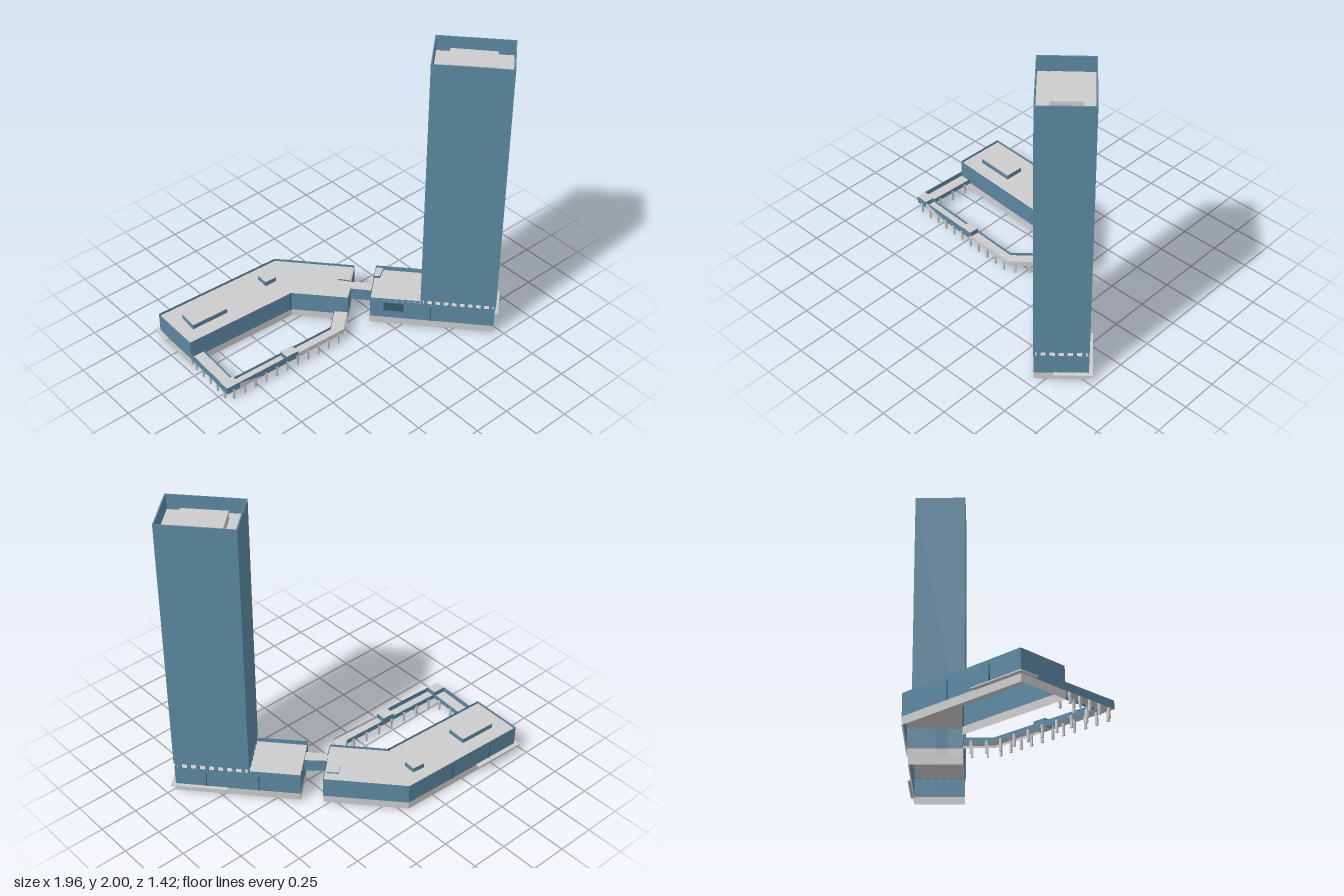
import * as THREE from 'three';

const mat = (color) => new THREE.MeshStandardMaterial({ color, side: THREE.DoubleSide });
const grey = mat(0xcccccc);
const blue = mat(0x5b87a0);

const lerp = (a, b, t) => [a[0] + (b[0] - a[0]) * t, a[1] + (b[1] - a[1]) * t];

// Plan points are [x, z]
function toShape(plan) {
  return new THREE.Shape(plan.map(([x, z]) => new THREE.Vector2(x, z)));
}

export function createModel() {
  const model = new THREE.Group();

  const add = (name, geometry, material, parent = model) => {
    const mesh = new THREE.Mesh(geometry, material);
    mesh.name = name;
    parent.add(mesh);
    return mesh;
  };

  // Thin upright sheet following a plan line
  const wall = (name, plan, y0, y1, material, closed = true) => {
    const pos = [];
    const count = closed ? plan.length : plan.length - 1;
    for (let i = 0; i < count; i++) {
      const [ax, az] = plan[i];
      const [bx, bz] = plan[(i + 1) % plan.length];
      pos.push(ax, y0, az, ax, y1, az, bx, y1, bz, ax, y0, az, bx, y1, bz, bx, y0, bz);
    }
    const g = new THREE.BufferGeometry();
    g.setAttribute('position', new THREE.Float32BufferAttribute(pos, 3));
    g.computeVertexNormals();
    return add(name, g, material);
  };

  // Flat sheet at one height
  const deck = (name, plan, y, material = grey) => {
    const g = new THREE.ShapeGeometry(toShape(plan)).rotateX(Math.PI / 2).translate(0, y, 0);
    return add(name, g, material);
  };

  // Solid prism with its own cap and side materials
  const prism = (name, plan, y0, y1, cap = grey, side = blue) => {
    const g = new THREE.ExtrudeGeometry(toShape(plan), { depth: y1 - y0, bevelEnabled: false });
    g.rotateX(Math.PI / 2).translate(0, y1, 0);
    return add(name, g, [cap, side]);
  };

  // Row of square posts along a plan line
  const posts = (name, plan, y0, y1, spacing, size, material, closed) => {
    const row = new THREE.Group();
    row.name = name;
    model.add(row);
    const count = closed ? plan.length : plan.length - 1;
    for (let i = 0; i < count; i++) {
      const a = plan[i], b = plan[(i + 1) % plan.length];
      const dx = b[0] - a[0], dz = b[1] - a[1];
      const n = Math.max(1, Math.round(Math.hypot(dx, dz) / spacing));
      for (let k = 0; k < n; k++) {
        const [x, z] = lerp(a, b, (k + 0.5) / n);
        const post = add('post', new THREE.BoxGeometry(size, y1 - y0, 0.012), material, row);
        post.position.set(x, (y0 + y1) / 2, z);
        post.rotation.y = -Math.atan2(dz, dx);
      }
    }
  };

  // Podium: an angled west wing and an east block, split by a passage
  const west = [[-0.95, -0.68], [-0.04, -0.63], [0.318, -0.226], [0.187, -0.113],
    [0.14, -0.066], [0.066, -0.008], [-0.18, -0.285], [-0.96, -0.33]];
  const east = [[0.413, -0.118], [0.945, 0.48], [0.70, 0.70], [0.165, 0.097],
    [0.23, 0.04], [0.29, -0.013]];
  for (const [name, plan] of [['westWing', west], ['eastBlock', east]]) {
    wall(name + 'Base', plan, 0.01, 0.06, grey);
    wall(name + 'Wall', plan, 0.06, 0.2, blue);
    deck(name + 'Roof', plan, 0.182);
  }
  wall('eastParapet', [[0.385, 0.34], [0.165, 0.097], [0.23, 0.04], [0.29, -0.013],
    [0.413, -0.118], [0.63, 0.125]], 0.2, 0.215, blue, false);

  // Bridge over the passage
  prism('bridge', [[0.187, -0.113], [0.29, -0.013], [0.23, 0.04], [0.14, -0.066]], 0.115, 0.2);

  // Tower, raised on short posts above the podium
  const tower = [[0.63, 0.122], [0.948, 0.482], [0.70, 0.708], [0.378, 0.345]];
  wall('towerWall', tower, 0.23, 2, blue);
  deck('towerFloor', tower, 0.23);
  deck('towerRoof', tower, 1.9);
  const mid = [0.664, 0.414];
  const inner = tower.map((p) => lerp(p, mid, 0.035));
  wall('towerParapetInside', inner, 1.9, 2, blue);
  tower.forEach((p, i) => {
    const j = (i + 1) % 4;
    deck('towerCoping', [p, tower[j], inner[j], inner[i]], 2, blue);
  });
  prism('towerPenthouse', [[0.64, 0.24], [0.825, 0.455], [0.69, 0.575], [0.50, 0.365]],
    1.9, 1.96, grey, grey);
  posts('towerPosts', inner, 0.18, 0.23, 0.055, 0.022, blue, true);

  // Plant boxes and hatches on the podium roof
  prism('roofPlant', [[-0.85, -0.565], [-0.595, -0.55], [-0.6, -0.42], [-0.86, -0.435]], 0.182, 0.215);
  prism('roofStairBox', [[-0.245, -0.55], [-0.16, -0.54], [-0.165, -0.46], [-0.25, -0.465]], 0.182, 0.215);
  prism('roofHatch', [[0.15, -0.2], [0.2, -0.24], [0.255, -0.18], [0.2, -0.135]], 0.182, 0.192);
  prism('roofHatch', [[0.413, -0.113], [0.445, -0.08], [0.37, -0.035], [0.34, -0.06]], 0.182, 0.2);

  // Entrance canopies
  prism('towerCanopy', [[0.74, 0.21], [0.98, 0.485], [0.805, 0.64], [0.79, 0.62],
    [0.945, 0.48], [0.72, 0.225]], 0.056, 0.064, grey, grey);
  prism('wingCanopy', [[-0.975, -0.71], [-0.61, -0.692], [-0.612, -0.661], [-0.95, -0.68],
    [-0.955, -0.575], [-0.982, -0.577]], 0.056, 0.064, grey, grey);

  // Narrow dark joints and a window on the podium walls
  const joint = (a, b, t, width, y0, y1, name = 'wallJoint') => {
    const dx = b[0] - a[0], dz = b[1] - a[1];
    const [x, z] = lerp(a, b, t);
    const m = add(name, new THREE.BoxGeometry(width, y1 - y0, 0.008), mat(0x3b5a6b));
    m.position.set(x, (y0 + y1) / 2, z);
    m.rotation.y = -Math.atan2(dz, dx);
  };
  for (const t of [0.08, 0.5]) joint(east[0], east[1], t + 0.25, 0.006, 0.06, 0.175);
  joint(east[2], east[3], 0.51, 0.006, 0.06, 0.175);
  joint(west[6], west[7], 0.01, 0.006, 0.06, 0.2);
  for (const t of [0.25, 0.6]) joint(west[0], west[1], t, 0.006, 0.06, 0.175);
  joint(east[2], east[3], 0.81, 0.13, 0.12, 0.182, 'sideWindow');

  // Courtyard arcade: low roof with fascias on posts
  const outerZ = (x) => 0.07 + (x + 0.98) * 0.05;
  const at = (x) => [x, outerZ(x)];
  const innerLine = [[-0.87, -0.325], [-0.89, 0.005], [-0.125, 0.045], [0.01, -0.075]];
  const corner = at(-0.075), join = [0.066, -0.008];
  const outerLine = [[-0.96, -0.33], [-0.982, 0.07], corner, join];
  deck('arcadeRoof', [...outerLine, ...[...innerLine].reverse()], 0.075);
  wall('arcadeInnerFascia', innerLine, 0.06, 0.095, blue, false);
  wall('arcadeOuterFascia', [at(-0.44), corner, join], 0.06, 0.095, grey, false);
  wall('arcadeWestFascia', [[-0.96, -0.33], [-0.982, 0.07], at(-0.44)], 0.06, 0.11, blue, false);
  prism('arcadeCornerBlock', [[-0.98, 0.002], [-0.89, 0.006], at(-0.893), [-0.982, 0.07]], 0.06, 0.11);
  prism('arcadeBlock', [[-0.525, 0.025], [-0.44, 0.03], at(-0.444), at(-0.53)], 0.06, 0.112);

  // Grey triangular panel on the west fascia
  const tri = new THREE.BufferGeometry();
  tri.setAttribute('position', new THREE.Float32BufferAttribute([
    -0.89, 0.06, outerZ(-0.89) + 0.003, -0.69, 0.06, outerZ(-0.69) + 0.003,
    -0.89, 0.106, outerZ(-0.89) + 0.003], 3));
  tri.computeVertexNormals();
  add('fasciaPanel', tri, grey);

  posts('arcadeOuterPosts', outerLine.map((p) => lerp(p, [-0.45, 0], 0.012)), 0, 0.075, 0.085, 0.014, grey, false);
  posts('arcadeInnerPosts', innerLine, 0, 0.075, 0.11, 0.014, grey, false);

  return model;
}
